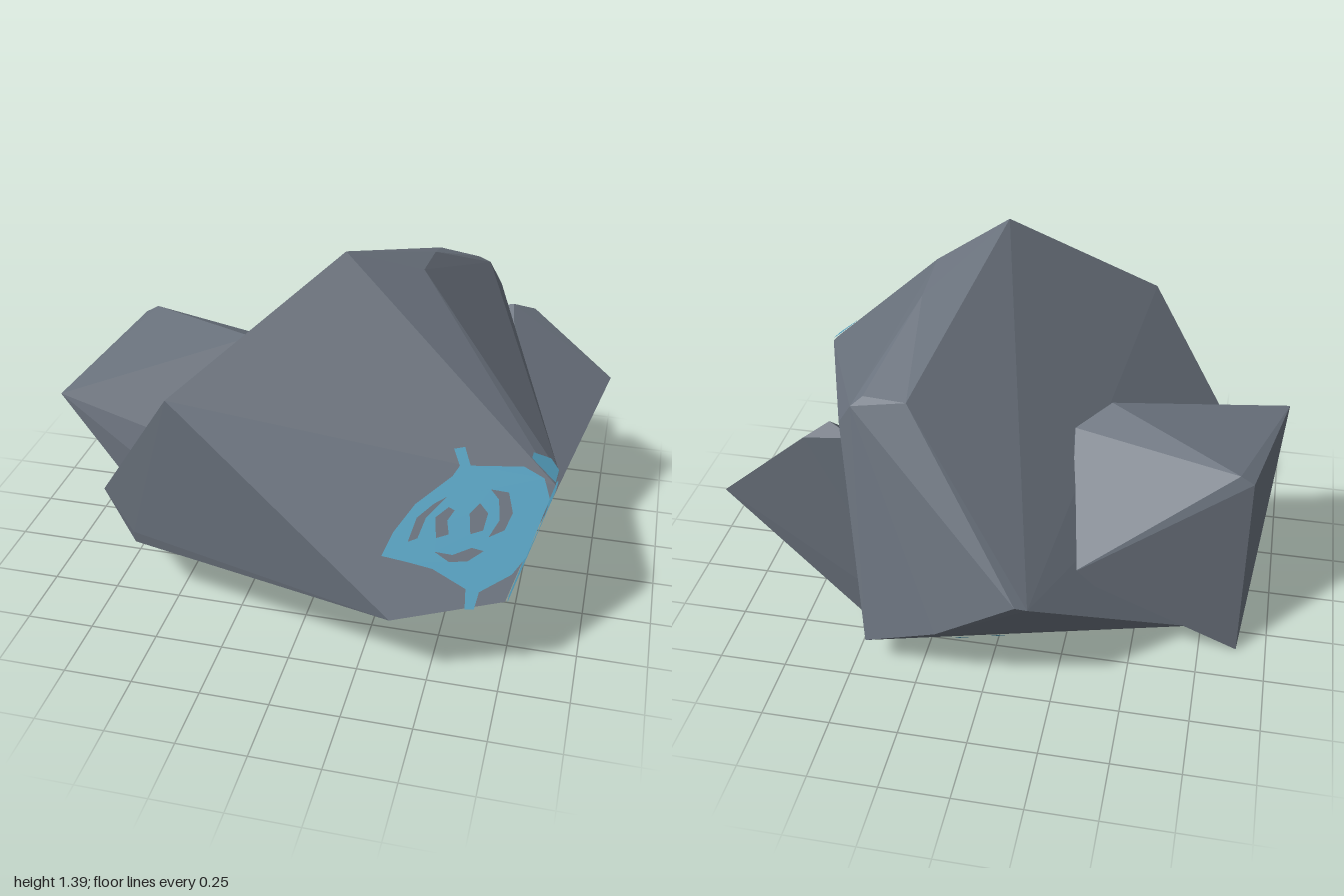
import * as THREE from 'three';
import { ConvexGeometry } from 'three/addons/geometries/ConvexGeometry.js';

const V = (p) => new THREE.Vector3(...p);
const CENTRE = V([0, 0.6, 0]);

export function createModel() {
  const group = new THREE.Group();
  const stone = new THREE.MeshStandardMaterial({ color: 0x6a727d });
  stone.name = 'slate stone';
  const glow = new THREE.MeshStandardMaterial({ color: 0x55a0bf, side: THREE.DoubleSide });
  glow.name = 'blue paint';

  const add = (name, geometry, material) => {
    const mesh = new THREE.Mesh(geometry, material);
    mesh.name = name;
    group.add(mesh);
  };
  // Faceted boulder: the hull of its corners
  const rock = (name, corners) => add(name, new ConvexGeometry(corners.map(V)), stone);

  // Shared corners that carry painted marks
  const apex = [0.1, 1.39, 0.29], brow = [-0.43, 0.96, 0.68], chin = [0.38, 0.31, 0.84];
  const cheek = [0.75, 0.36, 0.713], corner = [0.87, 0.7, 0.485], cornerBack = [0.875, 0.71, 0.42];
  const jaw = [0.74, 0.29, 0.38], heel = [0.45, 0.12, -0.69], foot = [-0.7, 0.04, -0.3];
  const rear = [0.16, 0.28, -0.78];

  rock('mainBoulder', [
    apex, brow, chin, cheek, corner, cornerBack, jaw, heel, foot, rear,
    [0.34, 1.28, 0.13], [0.34, 1.25, -0.1],
    [0.29, 1.08, -0.54], [0.45, 1.07, -0.51], [0.49, 1.04, -0.535], [0.54, 0.96, -0.52],
    [-0.14, 0.51, -0.85], [-0.18, 0.49, -0.83],
    [-0.74, 0.48, 0.55], [-0.63, 0.32, 0.57], [-0.63, 0.27, 0.56],
    [-0.79, 0.18, 0.3], [-0.75, 0.11, 0.1],
  ]);

  rock('rightHandBoulder', [
    [-1, 0.7, 0.29], [-0.89, 0, -0.35], [-0.84, 0.79, -0.34], [-0.89, 0.76, -0.34],
    [-0.28, 0.45, -0.57], [-0.23, 0.79, -0.15], [-0.35, 0.85, -0.05],
    [-0.73, 0.5, 0.31], [-0.58, 0.55, 0.26], [-0.5, 0.1, 0.34], [-0.61, 0.2, 0.335],
    [-0.04, 0.02, 0.12], [-0.02, 0.1, 0.1],
  ]);

  const elbow = [0.83, 0.36, 0.14], shoulder = [1, 0.6, -0.51], toe = [0.5, 0, -0.45];
  rock('leftHandBoulder', [
    elbow, shoulder, toe, [0.76, 0.28, 0.37], [0.68, 0.18, 0.15],
    [0.6, 0.91, -0.45], [0.68, 0.87, -0.51], [0.5, 0.87, -0.48],
    [0.32, 0.04, -0.46], [0.36, 0.05, -0.13], [0.23, 0.1, -0.3],
  ]);

  // Thin painted mark on the plane of three points; drop = axis solved from the plane
  const paint = (name, shapes, plane, drop) => {
    const [a, b, c] = plane.map(V);
    const n = b.clone().sub(a).cross(c.clone().sub(a)).normalize();
    if (n.dot(a.clone().sub(CENTRE)) < 0) n.negate();
    const [u, v] = [[2, 1], [0, 2], [0, 1]][drop];
    const flat = new THREE.ShapeGeometry(shapes, 8).toNonIndexed();
    const pos = flat.attributes.position;
    const p = new THREE.Vector3();
    for (let i = 0; i < pos.count; i++) {
      const s = pos.getX(i), t = pos.getY(i);
      p.setComponent(u, s).setComponent(v, t);
      const rest = n.dot(a) - n.getComponent(u) * s - n.getComponent(v) * t;
      p.setComponent(drop, rest / n.getComponent(drop));
      p.addScaledVector(n, 0.008);
      pos.setXYZ(i, p.x, p.y, p.z);
    }
    // Wind every triangle outward
    const [A, B, C] = [0, 0, 0].map(() => new THREE.Vector3());
    for (let i = 0; i < pos.count; i += 3) {
      [A, B, C].forEach((w, k) => w.fromBufferAttribute(pos, i + k));
      if (B.clone().sub(A).cross(C.clone().sub(A)).dot(n) < 0) {
        pos.setXYZ(i + 1, C.x, C.y, C.z);
        pos.setXYZ(i + 2, B.x, B.y, B.z);
      }
    }
    flat.computeVertexNormals();
    add(name, flat, glow);
  };
  const vec = (pts) => pts.map((p) => new THREE.Vector2(...p));
  const poly = (pts, holes = []) => {
    const shape = new THREE.Shape(vec(pts));
    holes.forEach((h) => shape.holes.push(new THREE.Path(vec(h))));
    return shape;
  };
  const dots = (spots) => spots.map(([x, y, r]) => new THREE.Shape().absarc(x, y, r, 0, Math.PI * 2));

  // Ringed rune on the front face
  paint('frontRune', poly([
    [0.33, 0.5], [0.36, 0.57], [0.42, 0.65], [0.53, 0.73], [0.55, 0.76], [0.525, 0.81], [0.56, 0.815],
    [0.585, 0.76], [0.76, 0.755], [0.83, 0.72], [0.855, 0.66], [0.8, 0.49], [0.76, 0.44], [0.66, 0.39],
    [0.65, 0.34], [0.62, 0.34], [0.615, 0.4], [0.5, 0.46], [0.42, 0.48],
  ], [
    [[0.41, 0.54], [0.43, 0.61], [0.48, 0.65], [0.52, 0.67], [0.46, 0.61], [0.44, 0.55]],
    [[0.5, 0.55], [0.49, 0.61], [0.53, 0.64], [0.55, 0.63], [0.53, 0.6], [0.54, 0.56]],
    [[0.61, 0.56], [0.6, 0.62], [0.63, 0.65], [0.66, 0.62], [0.65, 0.57]],
    [[0.67, 0.55], [0.7, 0.6], [0.69, 0.66], [0.66, 0.69], [0.72, 0.68], [0.74, 0.62], [0.72, 0.57]],
    [[0.5, 0.51], [0.56, 0.5], [0.62, 0.52], [0.66, 0.51], [0.61, 0.48], [0.55, 0.48]],
  ]), [apex, brow, chin], 2);

  // Continuation of the rune on the side face
  paint('sideRune', poly([
    [0.71, 0.36], [0.66, 0.35], [0.6, 0.42], [0.43, 0.51], [0.39, 0.6], [0.395, 0.66], [0.44, 0.69],
    [0.5, 0.69], [0.57, 0.58], [0.65, 0.45],
  ], [
    [[0.58, 0.5], [0.53, 0.5], [0.48, 0.56], [0.48, 0.62], [0.52, 0.61], [0.56, 0.56]],
  ]), [cheek, corner, jaw], 0);
  paint('upperRune', poly([[0.485, 0.705], [0.42, 0.715], [0.4, 0.745], [0.44, 0.785], [0.47, 0.78]]),
    [apex, corner, cornerBack], 0);

  // Small flecks of paint
  paint('sideFlecks', dots([[-0.15, 0.34, 0.027], [0.09, 0.31, 0.018]]), [elbow, shoulder, toe], 0);
  paint('lowerFlecks', dots([
    [0.42, 0.48, 0.035], [0.35, 0.67, 0.03], [0.09, 0.26, 0.035], [0.01, 0.4, 0.03], [0.24, -0.3, 0.03],
  ]), [chin, heel, foot], 1);
  paint('backFlecks', dots([[0.1, -0.62, 0.026], [-0.03, -0.6, 0.026]]), [rear, heel, foot], 1);

  return group;
}
